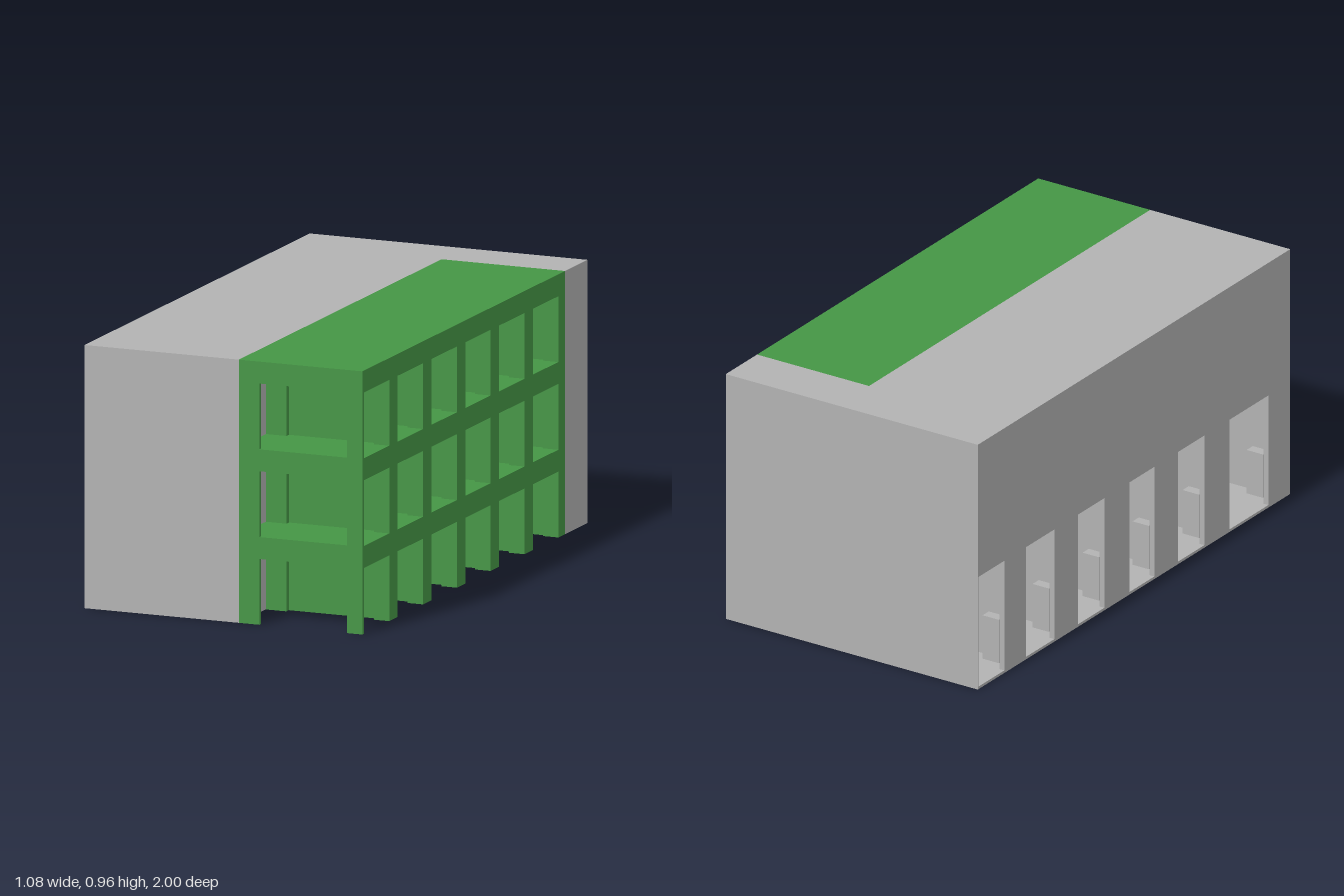
import * as THREE from 'three';

export function createModel() {
  const model = new THREE.Group();
  model.name = 'building';
  const grey = new THREE.MeshStandardMaterial({ color: 0xb2b2b2 });
  grey.name = 'grey concrete';
  const green = new THREE.MeshStandardMaterial({ color: 0x459645 });
  green.name = 'green frame';

  const makeGroup = (name) => {
    const g = new THREE.Group();
    g.name = name;
    model.add(g);
    return g;
  };
  // Box given by its extents along x, y and z
  const box = (parent, name, mat, [x0, x1], [y0, y1], [z0, z1]) => {
    const mesh = new THREE.Mesh(new THREE.BoxGeometry(x1 - x0, y1 - y0, z1 - z0), mat);
    mesh.position.set((x0 + x1) / 2, (y0 + y1) / 2, (z0 + z1) / 2);
    mesh.name = name;
    parent.add(mesh);
  };

  // Solid L-shaped block
  const block = makeGroup('mainBlock');
  box(block, 'core', grey, [-0.14, 0.06], [0, 0.96], [-1, 1]);
  box(block, 'upperStorey', grey, [-0.54, -0.14], [0.64, 0.96], [-1, 1]);
  box(block, 'rearWing', grey, [0.06, 0.54], [0, 0.96], [-1, -0.8]);

  // Ground-floor bays along the left-hand side street
  const bays = makeGroup('sideBays');
  box(bays, 'floor', grey, [-0.54, -0.14], [0, 0.01], [-1, 1]);
  box(bays, 'rearWall', grey, [-0.54, -0.14], [0.01, 0.64], [-1, -0.995]);
  box(bays, 'frontWall', grey, [-0.54, -0.14], [0.01, 0.64], [0.98, 1]);
  box(bays, 'lintel', grey, [-0.54, -0.52], [0.44, 0.64], [-0.995, 0.98]);
  const openings = [[-1, -0.83], [-0.69, -0.51], [-0.36, -0.19], [-0.03, 0.13], [0.28, 0.45], [0.61, 0.86]];
  openings.forEach(([, end], i) => {
    const next = i < 5 ? openings[i + 1][0] : 0.98;
    box(bays, 'pier', grey, [-0.54, -0.52], [0.01, 0.44], [end, next]);
    box(bays, 'divider', grey, [-0.52, -0.14], [0.01, 0.64], [end + 0.08, end + 0.11]);
    box(bays, 'bench', grey, [-0.49, -0.42], [0.01, 0.18], [end + 0.04, end + 0.08]);
  });

  // Open green frame, three storeys by six bays
  const frame = makeGroup('openFrame');
  const inner = [0.06, 0.14], outer = [0.48, 0.54], between = [0.14, 0.48];
  const columns = [[-0.8, -0.74], [0.985, 1]];
  for (let i = 0; i < 5; i++) columns.push([-0.515 + i * 0.3, -0.44 + i * 0.3]);

  for (let storey = 0; storey < 3; storey++) {
    const y = storey * 0.32;
    const wall = [y, y + 0.24], beam = [y + 0.24, y + 0.32];
    // Long beams and the floor slab above the storey
    box(frame, 'innerBeam', green, inner, beam, [-0.8, 1]);
    box(frame, 'outerBeam', green, outer, beam, [-0.8, 1]);
    box(frame, 'slab', green, between, [y + 0.28, y + 0.32], [-0.8, 1]);
    columns.forEach(([z0, z1], i) => {
      box(frame, 'innerColumn', green, inner, wall, [z0, z1]);
      box(frame, 'outerColumn', green, outer, wall, [z0, z1]);
      box(frame, 'crossBeam', green, between, [y + 0.24, y + 0.28], [z0, z1]);
      // Thin partition between columns, left open at the front end
      if (i !== 1) {
        const c = (z0 + z1) / 2;
        box(frame, 'partition', green, between, wall, [c - 0.016, c + 0.016]);
      }
    });
  }
  return model;
}
